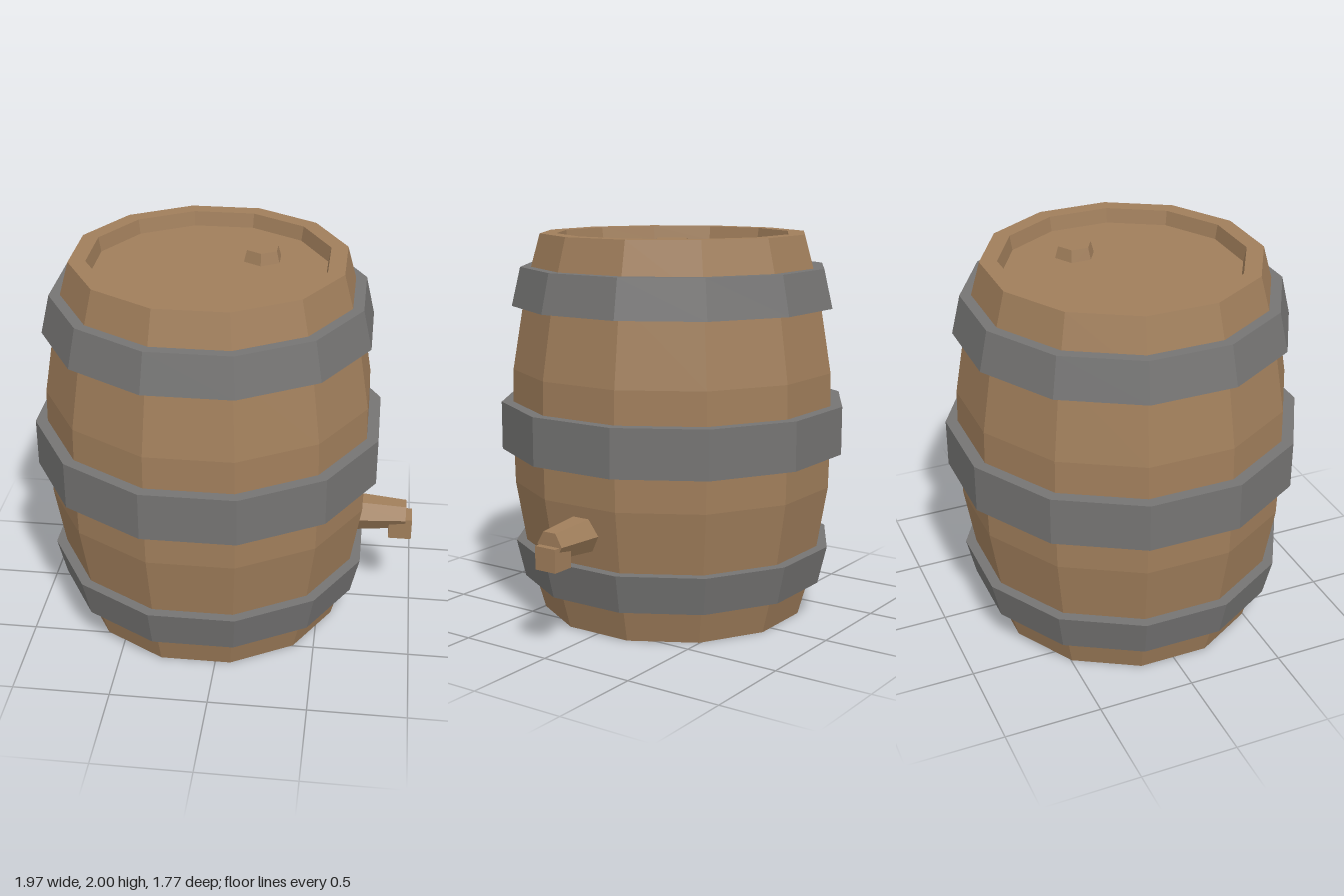
import * as THREE from 'three';

const SIDES = 12;
const AXIS_X = -0.103; // barrel axis, offset so that barrel plus spigot is centred

const wood = new THREE.MeshStandardMaterial({ color: 0xa07e5b });
wood.name = 'wood';
const iron = new THREE.MeshStandardMaterial({ color: 0x757473 });
iron.name = 'iron';

// Faceted mesh: unshared vertices give flat normals
function part(name, geometry, material) {
  const flat = geometry.index ? geometry.toNonIndexed() : geometry;
  flat.computeVertexNormals();
  const mesh = new THREE.Mesh(flat, material);
  mesh.name = name;
  return mesh;
}

// Twelve-sided lathe; profile gives [distance from axis to flat side, height]
function turned(profile) {
  const k = 1 / Math.cos(Math.PI / SIDES);
  const points = profile.map(([r, y]) => new THREE.Vector2(r * k, y));
  return new THREE.LatheGeometry(points, SIDES, Math.PI / SIDES);
}

export function createModel() {
  const model = new THREE.Group();
  model.name = 'barrel';

  // Bulging body with a sunken lid
  const body = part('body', turned([
    [0, 0], [0.677, 0], [0.752, 0.28], [0.82, 0.7], [0.826, 1],
    [0.82, 1.3], [0.752, 1.72], [0.677, 2],
    [0.593, 2], [0.58, 1.925], [0, 1.925],
  ]), wood);
  body.position.x = AXIS_X;
  model.add(body);

  // Hoops: [name, bottom y, top y, bottom radius, top radius]
  const hoops = [
    ['lowerHoop', 0.18, 0.38, 0.777, 0.822],
    ['middleHoop', 0.88, 1.13, 0.883, 0.883],
    ['upperHoop', 1.63, 1.83, 0.822, 0.777],
  ];
  for (const [name, y0, y1, r0, r1] of hoops) {
    const t = 0.12;
    const hoop = part(name, turned([
      [r0 - t, y0], [r0, y0], [r1, y1], [r1 - t, y1], [r0 - t, y0],
    ]), iron);
    hoop.position.x = AXIS_X;
    model.add(hoop);
  }

  // Hexagonal bung on the lid
  const bung = part('bung', new THREE.CylinderGeometry(0.087, 0.109, 0.08, 6), wood);
  bung.position.set(0.145, 1.945, -0.158);
  model.add(bung);

  // Spigot: tapered hexagonal pipe with a square spout
  const spigot = new THREE.Group();
  spigot.name = 'spigot';
  const pipe = part('pipe', new THREE.CylinderGeometry(0.075, 0.103, 0.31, 6).rotateZ(-Math.PI / 2), wood);
  pipe.position.set(0.795, 0.555, 0);
  const spout = part('spout', new THREE.BoxGeometry(0.122, 0.118, 0.122), wood);
  spout.position.set(0.924, 0.493, 0);
  spigot.add(pipe, spout);
  model.add(spigot);

  return model;
}
